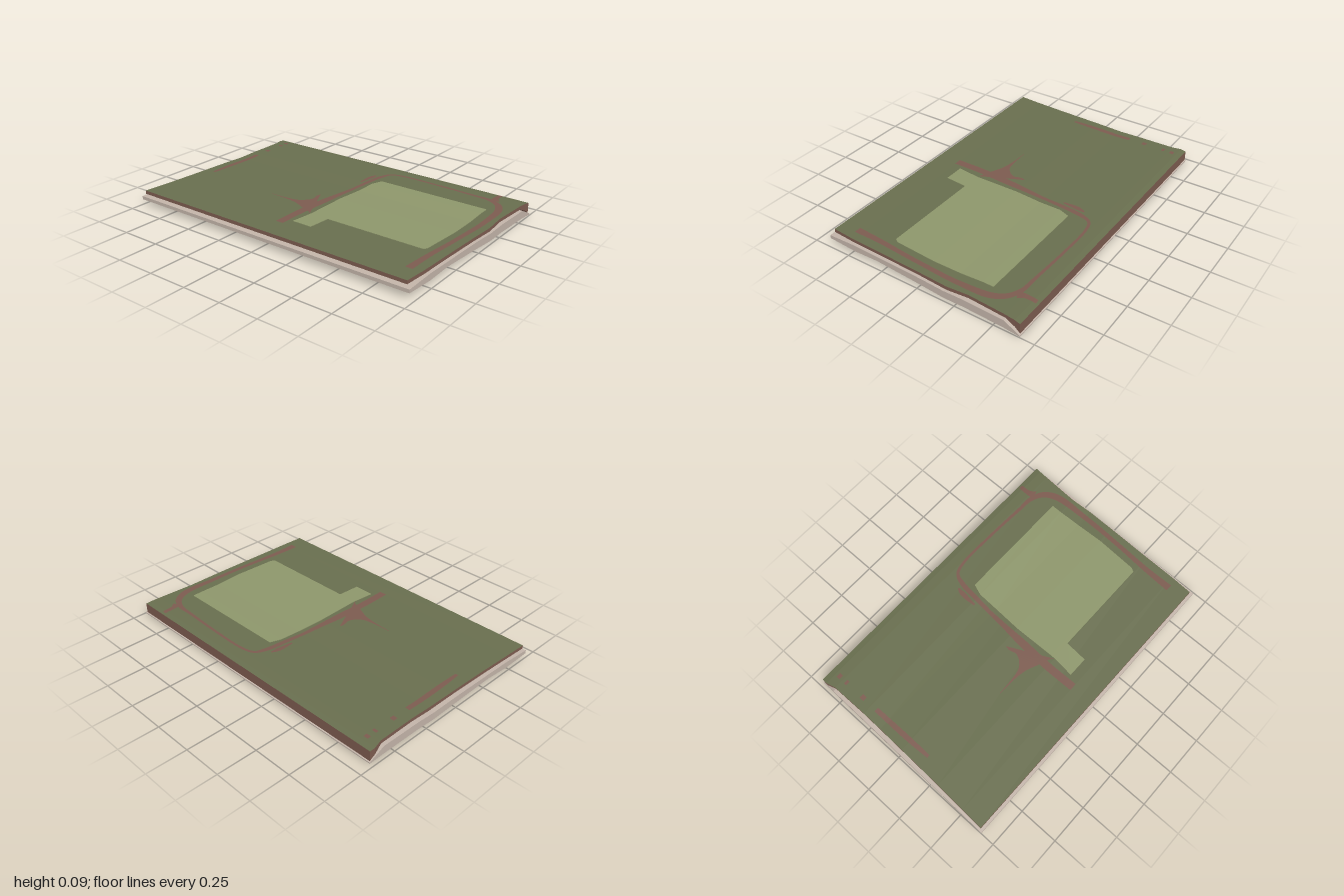
import * as THREE from 'three';

const mat = (name, color, side = THREE.FrontSide) =>
  Object.assign(new THREE.MeshStandardMaterial({ color, side }), { name });

// Cross-sections across the width: x, top y, bottom y, back z, front z
const COVER = [
  [-0.645, 0.091, 0.069, -0.985, 0.945], [-0.5, 0.088, 0.067, -0.978, 0.953],
  [-0.3, 0.086, 0.066, -0.97, 0.957], [0, 0.083, 0.063, -0.962, 0.965],
  [0.18, 0.079, 0.056, -0.957, 0.97], [0.32, 0.083, 0.062, -0.955, 0.962],
  [0.56, 0.083, 0.061, -0.957, 0.975], [0.62, 0.081, 0.036, -0.972, 0.98],
  [0.655, 0.076, 0.012, -0.97, 0.985],
];
const PAGES = [
  [-0.662, 0.055, 0.034, -1, 0.97], [-0.47, 0.064, 0.023, -0.996, 0.972],
  [-0.3, 0.064, 0.033, -0.993, 0.976], [0, 0.061, 0.018, -0.988, 0.982],
  [0.17, 0.054, 0.006, -0.984, 0.985], [0.3, 0.06, 0.011, -0.982, 0.987],
  [0.56, 0.058, 0.007, -0.978, 0.992], [0.66, 0.007, 0, -0.975, 0.995],
];

// Height of the cover at a given x
function coverY(x) {
  let i = 0;
  while (i < COVER.length - 2 && x > COVER[i + 1][0]) i++;
  const [a, b] = [COVER[i], COVER[i + 1]];
  return THREE.MathUtils.lerp(a[1], b[1], (x - a[0]) / (b[0] - a[0]));
}

function fromQuads(quads) {
  const pos = quads.flatMap(([a, b, c, d]) => [a, b, c, a, c, d].flat());
  const g = new THREE.BufferGeometry();
  g.setAttribute('position', new THREE.Float32BufferAttribute(pos, 3));
  g.computeVertexNormals();
  return g;
}

// Closed slab lofted along x; group 0 is the top, group 1 everything else
function slab(sections) {
  const top = [], rest = [];
  const rings = sections.map(([x, yt, yb, zb, zf]) =>
    [[x, yt, zb], [x, yt, zf], [x, yb, zf], [x, yb, zb]]);
  for (let i = 0; i < rings.length - 1; i++) {
    const [a0, b0, c0, d0] = rings[i], [a1, b1, c1, d1] = rings[i + 1];
    top.push([a0, b0, b1, a1]);
    rest.push([d0, d1, c1, c0], [c0, c1, b1, b0], [d1, d0, a0, a1]);
  }
  const [a, b, c, d] = rings[0], [e, f, g, h] = rings[rings.length - 1];
  rest.push([d, c, b, a], [g, h, e, f]);
  const geo = fromQuads([...top, ...rest]);
  geo.addGroup(0, top.length * 6, 0);
  geo.addGroup(top.length * 6, rest.length * 6, 1);
  return geo;
}

// Painted band lying on the cover; points are x, z, width
function ribbon(points, steps = 16, lift = 0.004) {
  const curve = new THREE.CatmullRomCurve3(
    points.map(([x, z, w]) => new THREE.Vector3(x, w, z)), false, 'centripetal');
  const edges = [];
  for (let i = 0; i <= steps; i++) {
    const p = curve.getPoint(i / steps), t = curve.getTangent(i / steps);
    const k = Math.max(p.y, 0) / 2 / Math.hypot(t.x, t.z);
    edges.push([-1, 1].map((s) => {
      const x = p.x - s * t.z * k;
      return [x, coverY(x) + lift, p.z + s * t.x * k];
    }));
  }
  return fromQuads(edges.slice(1).map((e, i) => [edges[i][0], edges[i][1], e[1], e[0]]));
}

export function createModel() {
  const green = mat('cover green', 0x686e4e);
  const light = mat('panel green', 0x8d966b);
  const brown = mat('leather brown', 0x7c5b4f, THREE.DoubleSide);
  const beige = mat('page beige', 0xc2b3a8);
  const group = new THREE.Group();
  const add = (name, geo, material) => {
    const mesh = new THREE.Mesh(geo, material);
    mesh.name = name;
    group.add(mesh);
  };

  // Book body
  add('pages', slab(PAGES), [beige, beige]);
  add('cover', slab(COVER), [green, brown]);

  // Light panel with a tab at its back left corner
  const plate = (list) => slab(list.map(([x, zb, zf]) =>
    [x, coverY(x) + 0.003, coverY(x) - 0.003, zb, zf]));
  add('panelTab', plate([[-0.44, 0.04, 0.17], [-0.295, 0.055, 0.18]]), [light, light]);
  add('panel', plate([[-0.295, 0.055, 0.82], [-0.27, 0.055, 0.835], [0, 0.05, 0.85],
    [0.18, 0.06, 0.845], [0.32, 0.065, 0.84], [0.39, 0.09, 0.84]]), [light, light]);

  // Ornament around the panel
  const bands = {
    middleBand: [[-0.5, -0.01, 0.05], [-0.3, -0.012, 0.05], [-0.1, -0.002, 0.05],
      [0.05, 0.008, 0.035], [0.2, 0.018, 0.025]],
    cornerBand: [[0.2, 0.018, 0.025], [0.33, 0.03, 0.03], [0.45, 0.045, 0.03],
      [0.52, 0.075, 0.02], [0.545, 0.15, 0.018], [0.547, 0.4, 0.018],
      [0.535, 0.68, 0.022], [0.53, 0.78, 0.03], [0.49, 0.86, 0.04],
      [0.41, 0.905, 0.045], [0.2, 0.915, 0.035], [-0.1, 0.903, 0.03],
      [-0.35, 0.885, 0.035], [-0.53, 0.88, 0.045]],
    upperDash: [[0.3, -0.01, 0.012], [0.4, -0.005, 0.03], [0.45, 0.005, 0.012]],
    spike: [[-0.2, -0.33, 0.002], [-0.2, -0.22, 0.012], [-0.199, -0.14, 0.035],
      [-0.192, -0.09, 0.09], [-0.182, -0.05, 0.17], [-0.165, -0.015, 0.31]],
    spur: [[0.53, 0.82, 0.06], [0.57, 0.808, 0.035], [0.64, 0.807, 0.028]],
    backBar: [[-0.145, -0.887, 0.02], [0, -0.889, 0.032], [0.28, -0.889, 0.03]],
  };
  for (const [name, pts] of Object.entries(bands)) {
    add(name, ribbon(pts, name === 'cornerBand' ? 70 : 16), brown);
  }
  for (const [x, w] of [[0.39, 0.03], [0.53, 0.018], [0.59, 0.025]]) {
    add('backMark', ribbon([[x - w / 2, -0.889, 0.03], [x + w / 2, -0.889, 0.03]], 2), brown);
  }
  return group;
}
